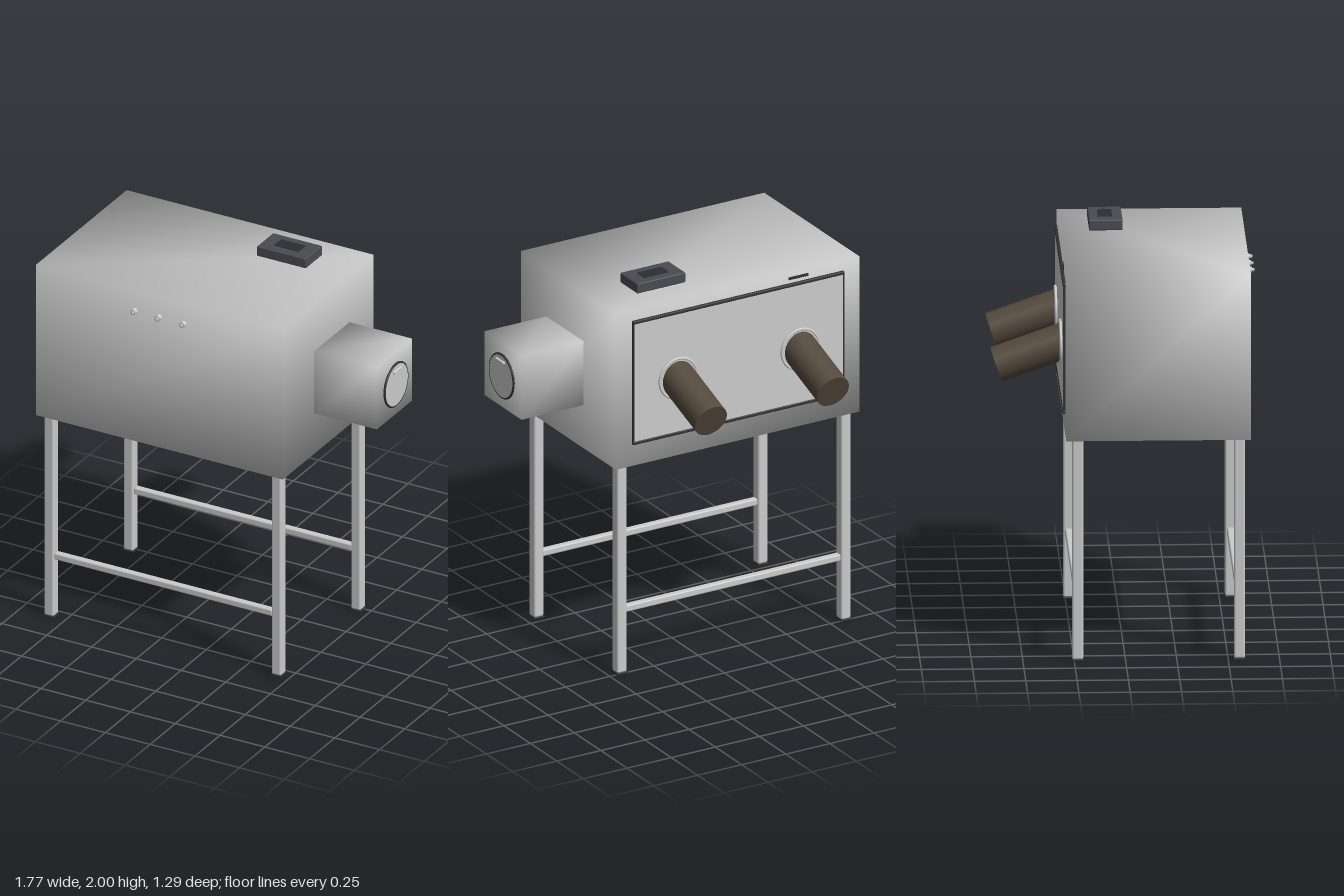
import * as THREE from 'three';
import { mergeVertices } from 'three/addons/utils/BufferGeometryUtils.js';
import { RoundedBoxGeometry } from 'three/addons/geometries/RoundedBoxGeometry.js';

const paint = (color) => new THREE.MeshStandardMaterial({ color });
const grey = paint(0xcccccc);
const rubber = paint(0x54493c);
const black = paint(0x333333);
const casing = paint(0x4a4a52);
const screenDark = paint(0x2c2d30);
const green = paint(0x2f5a2f);

export function createModel() {
  const model = new THREE.Group();

  const add = (name, geometry, material, x, y, z, parent = model) => {
    const mesh = new THREE.Mesh(geometry, material);
    mesh.name = name;
    mesh.position.set(x, y, z);
    parent.add(mesh);
    return mesh;
  };

  // Box whose corners share one averaged normal, for the soft sheet-metal shading
  const softBox = (w, h, d) => {
    const box = new THREE.BoxGeometry(w, h, d);
    box.deleteAttribute('uv');
    box.deleteAttribute('normal');
    const merged = mergeVertices(box);
    merged.computeVertexNormals();
    return merged;
  };
  const box = (w, h, d) => new THREE.BoxGeometry(w, h, d);
  const rounded = (w, h, d, r) => new RoundedBoxGeometry(w, h, d, 2, r);
  // Cylinders along z and x
  const discZ = (r, length) => new THREE.CylinderGeometry(r, r, length, 40).rotateX(Math.PI / 2);
  const discX = (r, length) => new THREE.CylinderGeometry(r, r, length, 40).rotateZ(Math.PI / 2);

  // Main chamber and side airlock
  add('chamber', softBox(1.38, 0.825, 0.9), grey, -0.2, 1.5225, 0.16);
  add('airlock', softBox(0.35, 0.34, 0.35), grey, 0.685, 1.525, 0.16);

  // Airlock door with seal and handle
  const door = new THREE.Group();
  door.name = 'airlockDoor';
  door.position.set(0.86, 1.525, 0.16);
  model.add(door);
  add('doorDisc', discX(0.11, 0.014), grey, 0.006, 0, 0, door);
  add('doorSeal', new THREE.TorusGeometry(0.112, 0.006, 10, 48).rotateY(Math.PI / 2), black, 0.008, 0, 0, door);
  add('doorHandle', rounded(0.014, 0.012, 0.082, 0.004), grey, 0.018, 0.082, 0, door);

  // Stand: four square-tube legs with feet, front and back stretchers
  for (const z of [0.555, -0.233]) {
    for (const x of [-0.835, 0.435]) {
      add('leg', rounded(0.054, 1.104, 0.054, 0.01), grey, x, 0.56, z);
      add('foot', rounded(0.058, 0.012, 0.058, 0.004), black, x, 0.006, z);
    }
    add('stretcher', rounded(1.22, 0.036, 0.036, 0.008), grey, -0.2, 0.337, z);
  }

  // Glove panel on the back, with dark rails above and below
  add('glovePanel', box(1.19, 0.64, 0.012), grey, -0.2, 1.552, -0.295);
  for (const y of [1.872, 1.232]) {
    add('panelRail', rounded(1.2, 0.018, 0.018, 0.006), black, -0.2, y, -0.296);
  }
  for (const x of [-0.795, 0.395]) {
    add('panelEdge', box(0.006, 0.63, 0.014), black, x, 1.552, -0.295);
  }
  add('backTab', box(0.11, 0.014, 0.005), black, -0.545, 1.905, -0.2915);

  // Glove ports with sleeves drooping outward
  const tilt = THREE.MathUtils.degToRad(19.5);
  for (const x of [-0.545, 0.147]) {
    const port = new THREE.Group();
    port.name = 'glovePort';
    port.position.set(x, 1.527, -0.3);
    model.add(port);
    add('portFlange', discZ(0.106, 0.012), grey, 0, 0, -0.005, port);
    add('portRing', new THREE.TorusGeometry(0.104, 0.007, 10, 48), grey, 0, 0, -0.008, port);
    const sleeve = add('sleeve', discZ(0.089, 0.36), rubber, 0, -0.052, -0.148, port);
    sleeve.rotation.x = -tilt;
  }

  // Gas fittings on the front
  for (const x of [-0.335, -0.2, -0.062]) {
    add('fitting', discZ(0.015, 0.026), grey, x, 1.826, 0.621);
    add('fittingTip', discZ(0.008, 0.015), grey, x, 1.826, 0.638);
  }

  // Control unit on top
  add('controller', rounded(0.275, 0.053, 0.164, 0.006), casing, 0.146, 1.9705, -0.066);
  add('screen', box(0.137, 0.006, 0.07), screenDark, 0.147, 1.997, -0.068);
  for (const x of [0.23, 0.249]) {
    add('button', new THREE.CylinderGeometry(0.006, 0.006, 0.006, 16), green, x, 1.997, -0.068);
  }

  return model;
}
